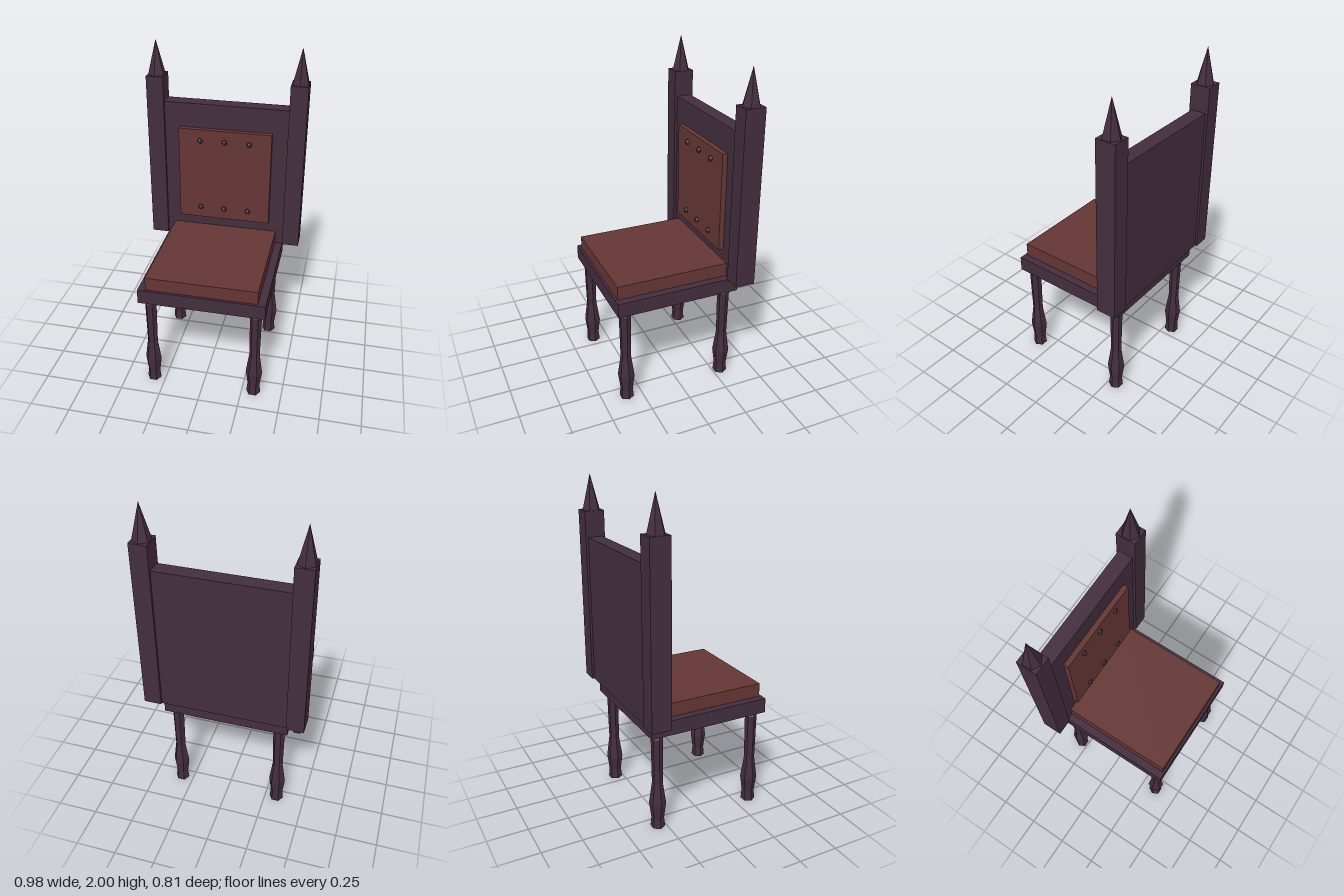
import * as THREE from 'three';

export function createModel() {
  const wood = new THREE.MeshStandardMaterial({ color: 0x432d3d, flatShading: true });
  wood.name = 'darkWood';
  const leather = new THREE.MeshStandardMaterial({ color: 0x643634, flatShading: true });
  leather.name = 'redLeather';

  const chair = new THREE.Group();
  chair.name = 'chair';

  const add = (name, geometry, material, x = 0, y = 0, z = 0) => {
    const mesh = new THREE.Mesh(geometry, material);
    mesh.name = name;
    mesh.position.set(x, y, z);
    chair.add(mesh);
    return mesh;
  };
  // Box given by its lower and upper limits on each axis
  const block = (name, material, [x0, x1], [y0, y1], [z0, z1]) =>
    add(name, new THREE.BoxGeometry(x1 - x0, y1 - y0, z1 - z0), material,
      (x0 + x1) / 2, (y0 + y1) / 2, (z0 + z1) / 2);

  // Seat and backrest
  block('seat', wood, [-0.385, 0.385], [0.62, 0.711], [-0.36, 0.406]);
  block('seatCushion', leather, [-0.338, 0.338], [0.711, 0.795], [-0.32, 0.391]);
  block('backPanel', wood, [-0.385, 0.385], [0.711, 1.631], [-0.394, -0.304]);
  block('backCushion', leather, [-0.291, 0.291], [0.868, 1.477], [-0.32, -0.272]);

  // Upholstery studs, two rows of three
  const studGeometry = new THREE.SphereGeometry(0.018, 6, 5);
  for (const y of [0.941, 1.405]) {
    for (const x of [-0.154, 0, 0.154]) add('stud', studGeometry, wood, x, y, -0.27);
  }

  // Turned six-sided leg, closed at both ends
  const legProfile = [
    [0, 0], [0.044, 0], [0.038, 0.06], [0.051, 0.16], [0.032, 0.3],
    [0.036, 0.59], [0.02, 0.617], [0, 0.62],
  ].map(([r, y]) => new THREE.Vector2(r, y));
  const legGeometry = new THREE.LatheGeometry(legProfile, 6).rotateY(Math.PI / 2);
  const spikeGeometry = new THREE.ConeGeometry(0.055, 0.215, 6);

  for (const side of [-1, 1]) {
    const label = side > 0 ? 'left' : 'right';
    add(label + 'FrontLeg', legGeometry, wood, side * 0.323, 0, 0.346);
    add(label + 'BackLeg', legGeometry, wood, side * 0.323, 0, -0.298);
    // Back post with a pointed finial
    const x = side * 0.438;
    block(label + 'Post', wood, [x - 0.053, x + 0.053], [0.714, 1.787], [-0.409, -0.287]);
    add(label + 'Finial', spikeGeometry, wood, x, 1.8925, -0.348);
  }

  return chair;
}
